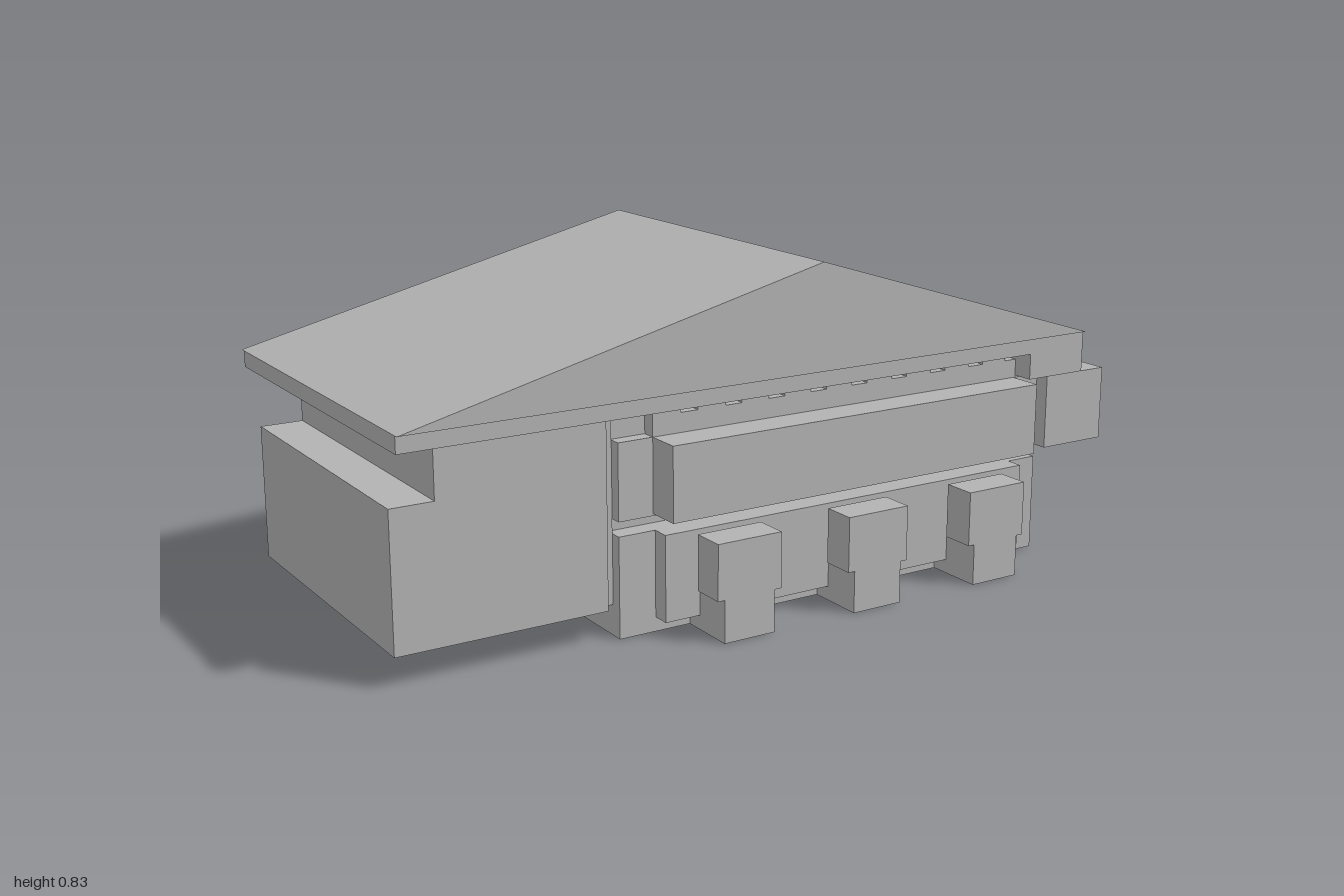
import * as THREE from 'three';

export function createModel() {
  const model = new THREE.Group();
  const grey = new THREE.MeshStandardMaterial({ color: 0xb2b2b2 });
  grey.name = 'plain grey';

  // Box given by its limits on each axis
  function block(name, x0, x1, y0, y1, z0, z1) {
    const mesh = new THREE.Mesh(new THREE.BoxGeometry(x1 - x0, y1 - y0, z1 - z0), grey);
    mesh.position.set((x0 + x1) / 2, (y0 + y1) / 2, (z0 + z1) / 2);
    mesh.name = name;
    model.add(mesh);
  }

  // Gable roof
  const gable = new THREE.Shape([
    new THREE.Vector2(-1, 0.575),
    new THREE.Vector2(0.885, 0.575),
    new THREE.Vector2(0.06, 0.833),
  ]);
  const roof = new THREE.Mesh(new THREE.ExtrudeGeometry(gable, { depth: 0.945, bevelEnabled: false }), grey);
  roof.position.z = -0.515;
  roof.name = 'gableRoof';
  model.add(roof);
  block('eaveSlab', -1, 0.885, 0.535, 0.575, -0.5, 0.42);
  block('endBeam', 0.71, 0.885, 0.47, 0.535, -0.5, 0.42);

  // Side wing, stepped at its outer end
  block('wing', -1, -0.48, 0.075, 0.405, -0.41, 0.367);
  block('wingUpper', -0.895, -0.48, 0.405, 0.535, -0.41, 0.367);
  block('wingLink', -0.48, -0.45, 0.075, 0.535, -0.38, 0.335);

  // Main body: ground floor, recessed joint, upper floor, window wall
  block('groundFloor', -0.45, 0.785, 0, 0.245, -0.405, 0.365);
  block('floorJoint', -0.45, 0.785, 0.245, 0.285, -0.383, 0.315);
  block('upperFloor', -0.45, 0.785, 0.28, 0.465, -0.405, 0.365);
  block('windowWall', -0.45, 0.71, 0.465, 0.535, -0.37, 0.33);

  // Parapets on both long sides
  block('frontLowerParapet', -0.355, 0.7, 0.035, 0.245, 0.365, 0.41);
  block('backLowerParapet', -0.355, 0.7, 0.03, 0.245, -0.45, -0.405);
  block('frontUpperParapet', -0.36, 0.705, 0.285, 0.465, 0.365, 0.453);
  block('backUpperParapet', -0.36, 0.705, 0.285, 0.465, -0.477, -0.405);

  // Sills and the row of small blocks under the eaves
  for (const [z0, z1] of [[0.33, 0.365], [-0.405, -0.37]]) {
    block('windowSill', -0.36, 0.71, 0.465, 0.512, z0, z1);
    for (let i = 0; i < 9; i++) {
      const x = -0.36 + i * 0.12;
      block('eaveBlock', x, Math.min(x + 0.075, 0.71), 0.512, 0.535, z0, z1);
    }
  }

  // Overhanging gallery on the end wall, with a lipped underside
  block('endGallery', 0.785, 0.975, 0.298, 0.465, -0.477, 0.403);
  block('galleryOuterLip', 0.93, 0.975, 0.277, 0.298, -0.477, 0.403);
  block('galleryInnerLip', 0.82, 0.87, 0.277, 0.298, -0.36, 0.32);
  block('galleryFrontLip', 0.785, 0.93, 0.277, 0.298, 0.34, 0.403);
  block('galleryBackLip', 0.785, 0.93, 0.277, 0.298, -0.477, -0.38);
  block('galleryCornerBox', 0.885, 1, 0.277, 0.422, -0.5, -0.423);

  // Front porches with a narrower foot
  for (const x of [-0.195, 0.169, 0.534]) {
    block('porchTop', x - 0.086, x + 0.086, 0.104, 0.24, 0.43, 0.515);
    block('porchFoot', x - 0.068, x + 0.068, 0, 0.104, 0.43, 0.515);
    block('porchLink', x - 0.068, x + 0.068, 0, 0.22, 0.365, 0.43);
  }

  // Small doors on the end and back walls
  block('endDoor', 0.785, 0.806, 0, 0.174, 0.187, 0.28);
  block('endDoor', 0.785, 0.806, 0, 0.174, -0.323, -0.232);
  block('backDoor', 0.125, 0.225, 0, 0.175, -0.473, -0.405);

  return model;
}
